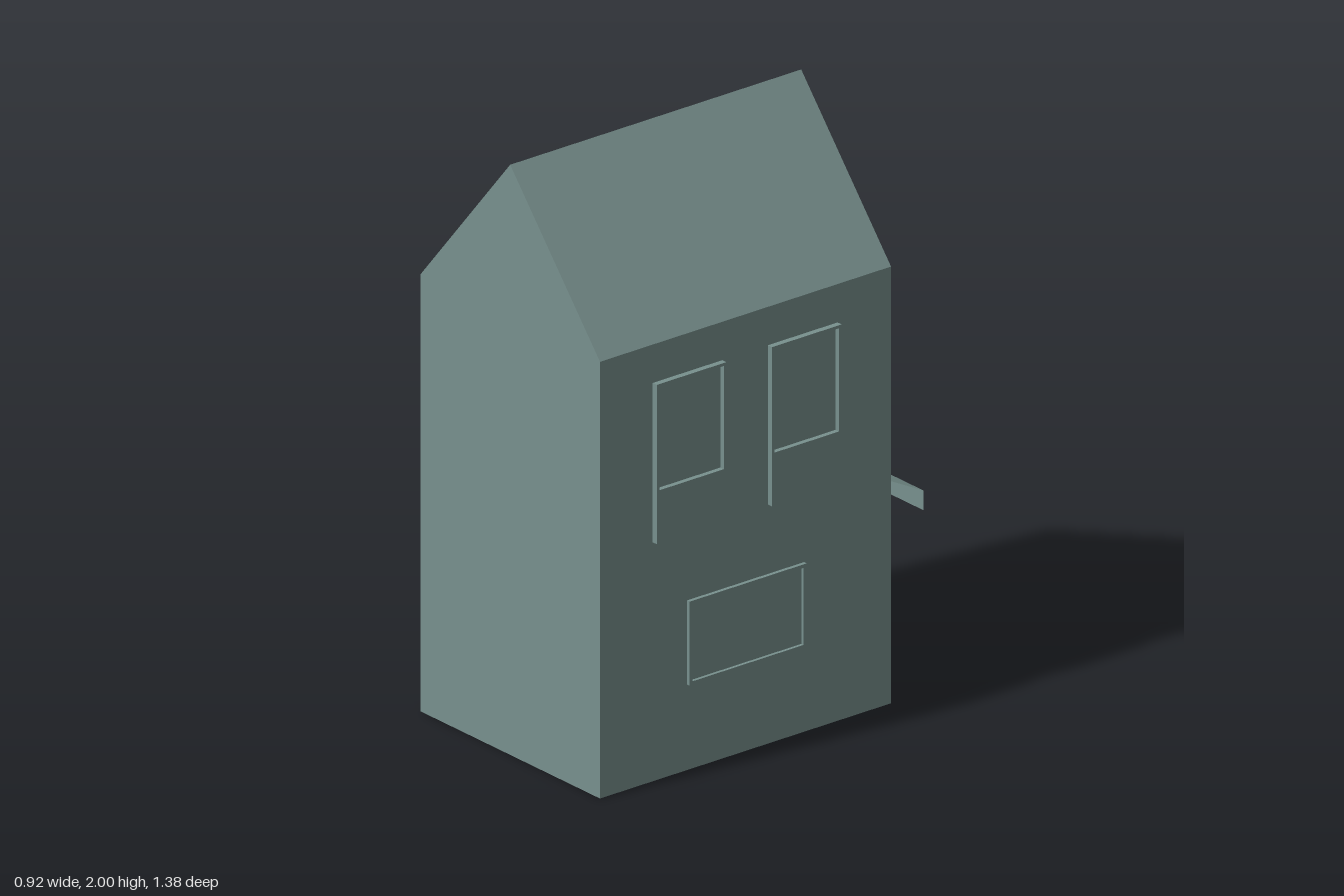
import * as THREE from 'three';

const material = new THREE.MeshStandardMaterial({ color: 0x78918e, flatShading: true });
const thinMaterial = new THREE.MeshStandardMaterial({ color: 0x78918e, flatShading: true, side: THREE.DoubleSide });

const HALF = 0.44, BACK = -0.485, FRONT = 0.685, EAVE = 1.48, RIDGE = 2;

const outline = (pts) => pts.map(([x, y]) => new THREE.Vector2(x, y));
const rect = (x0, x1, y0, y1) => [[x0, y0], [x1, y0], [x1, y1], [x0, y1]];

function addMesh(parent, name, geometry, mat = material) {
  const mesh = new THREE.Mesh(geometry, mat);
  mesh.name = name;
  parent.add(mesh);
  return mesh;
}

// Flat plate in XY, facing +z, with an optional opening
function plate(pts, hole, depth, z0 = 0) {
  const shape = new THREE.Shape(outline(pts));
  if (hole) shape.holes.push(new THREE.Path(outline(hole)));
  return new THREE.ExtrudeGeometry(shape, { depth, bevelEnabled: false }).translate(0, 0, z0);
}

// Framed opening with a pane set back behind its face
function framedPanel(name, pts, hole, depth, recess, z0 = 0) {
  const group = new THREE.Group();
  group.name = name;
  addMesh(group, 'frame', plate(pts, hole, depth, z0));
  const pane = new THREE.ShapeGeometry(new THREE.Shape(outline(hole)));
  addMesh(group, 'pane', pane.translate(0, 0, z0 + depth - recess));
  return group;
}

// Surface strip between two rows of points
function strip(rowA, rowB) {
  const pos = [];
  for (let i = 0; i < rowA.length - 1; i++) {
    pos.push(...rowA[i], ...rowB[i], ...rowB[i + 1], ...rowA[i], ...rowB[i + 1], ...rowA[i + 1]);
  }
  const geometry = new THREE.BufferGeometry();
  geometry.setAttribute('position', new THREE.Float32BufferAttribute(pos, 3));
  geometry.computeVertexNormals();
  return geometry;
}

export function createModel() {
  const model = new THREE.Group();
  model.name = 'house';

  // Gabled body, with a triangular recess in the street-side gable
  const profile = [[-HALF, 0], [HALF, 0], [HALF, EAVE], [0, RIDGE], [-HALF, EAVE]];
  const gable = [[-0.33, 1.485], [0.33, 1.485], [0.33, 1.515], [0, 1.9], [-0.33, 1.515]];
  const recess = 0.04;
  addMesh(model, 'body', plate(profile, null, FRONT - BACK - recess, BACK + recess));
  addMesh(model, 'gableWall', plate(profile, gable, recess, BACK));

  // Side windows, mirrored on both walls
  for (const side of [1, -1]) {
    const wall = new THREE.Group();
    wall.name = side > 0 ? 'leftWindows' : 'rightWindows';
    const place = (win, z) => {
      win.position.set(side * HALF, 0, z);
      win.rotation.y = side * Math.PI / 2;
      wall.add(win);
    };
    for (const z of [0.333, -0.13]) {
      place(framedPanel('sashWindow', rect(-0.14, 0.14, 0.81, 1.35),
        rect(-0.13, 0.13, 0.99, 1.34), 0.02, 0.017), z);
    }
    place(framedPanel('wideWindow', rect(-0.235, 0.235, 0.29, 0.575),
      rect(-0.223, 0.223, 0.302, 0.563), 0.013, 0.011), 0.1);
    model.add(wall);
  }

  // Door and ground-floor window on the street side
  const door = framedPanel('door', rect(-0.14, 0.14, 0, 0.615), rect(-0.1, 0.1, 0.27, 0.58), 0.01, 0.008);
  const shopWindow = framedPanel('streetWindow', rect(-0.13, 0.13, 0.25, 0.62),
    rect(-0.12, 0.12, 0.26, 0.61), 0.015, 0.013);
  for (const [part, x] of [[door, -0.21], [shopWindow, 0.175]]) {
    part.position.set(x, 0, BACK);
    part.rotation.y = Math.PI;
    model.add(part);
  }

  // Open-ended awning: sloped sheet with a hanging valance
  const awningSection = [[0.74, BACK], [0.634, -0.69], [0.567, -0.69]];
  addMesh(model, 'awning', strip(
    awningSection.map(([y, z]) => [0.35, y, z]),
    awningSection.map(([y, z]) => [-0.35, y, z])), thinMaterial);

  // Three-sided bay window
  const bay = new THREE.Group();
  bay.name = 'bayWindow';
  const base = 0.81;
  const corners = [[0.22, BACK, 1.395], [0.09, -0.57, 1.375], [-0.09, -0.57, 1.375], [-0.22, BACK, 1.395]];
  for (let i = 0; i < 3; i++) {
    const [ax, az, ah] = corners[i], [bx, bz, bh] = corners[i + 1];
    const w = Math.hypot(bx - ax, bz - az);
    const panel = framedPanel('bayPanel', [[0, base], [w, base], [w, bh], [0, ah]],
      rect(0.014, w - 0.014, 1, 1.335), 0.015, 0.014, -0.015);
    panel.position.set(ax, 0, az);
    panel.rotation.y = Math.atan2(az - bz, bx - ax);
    bay.add(panel);
  }
  const ring = (height) => corners.map(([x, z, h]) => [x, height ?? h, z]);
  const cap = (pts) => strip([pts[0], pts[3]], [pts[1], pts[2]]);
  addMesh(bay, 'bayRoof', cap(ring()), thinMaterial);
  addMesh(bay, 'bayFloor', cap(ring(base)), thinMaterial);
  model.add(bay);

  return model;
}
